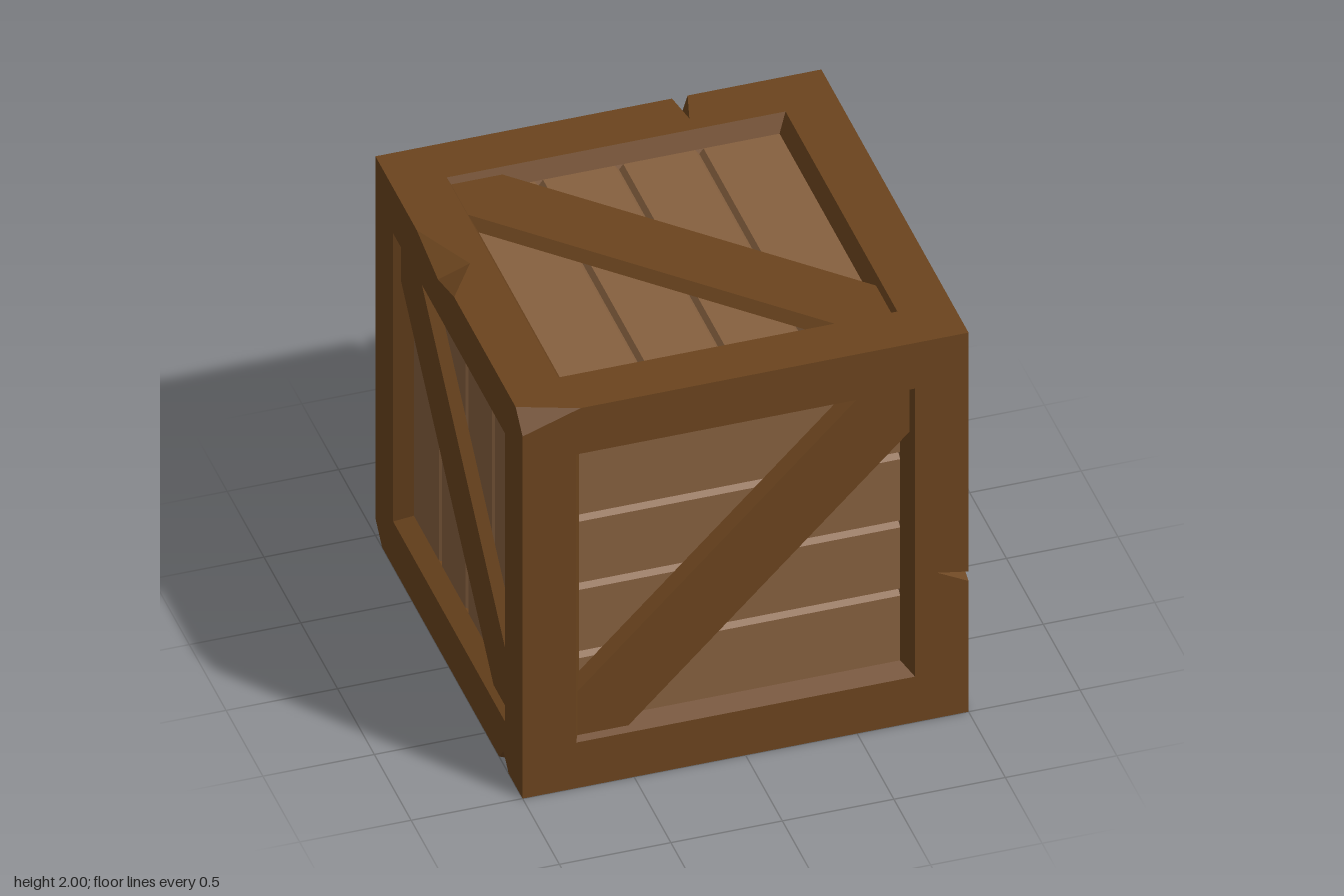
import * as THREE from 'three';

const OPEN = 0.76, FLOOR = 0.72, DEPTH = 0.08;   // recess: outer half size, inner half size, depth
const BRACE_TOP = 0.97;

const frameMat = new THREE.MeshStandardMaterial({ color: 0x6b441e, flatShading: true, side: THREE.DoubleSide });
const plankMat = new THREE.MeshStandardMaterial({ color: 0x86603f, flatShading: true });

const V = (x, y, z) => new THREE.Vector3(x, y, z);

// Nicks along the edges: a, b lie on the edge, f and s reach into the two faces beside it
const nicks = [
  { a: V(1, -0.26, 1), b: V(1, -0.31, 1), f: V(0.86, -0.235, 1), s: V(1, -0.26, 0.89) },
  { a: V(1, 0.115, -1), b: V(1, 0.02, -1), f: V(0.86, 0.05, -1), s: V(1, 0.08, -0.87) },
  { a: V(-1, 1, -0.44), b: V(-1, 1, 0.07), f: V(-0.86, 1, -0.14), s: V(-1, 0.94, -0.15) },
  { a: V(0.33, 1, -1), b: V(0.4, 1, -1), f: V(0.355, 1, -0.84), s: V(0.36, 0.87, -1) },
  { a: V(-1, -1, 0.68), b: V(-1, -1, 0.81), f: V(-0.9, -1, 0.75), s: V(-1, -0.93, 0.74) },
];

// Corners cut off: corner position and cut length along x, y, z
const chips = [
  { corner: V(-1, 1, 1), cut: [0.26, 0.09, 0.095] },
  { corner: V(-1, -1, -1), cut: [0.28, 0.09, 0.09] },
];
for (const c of chips) {
  c.points = c.cut.map((len, i) => {
    const p = c.corner.clone();
    p.setComponent(i, p.getComponent(i) * (1 - len));
    return p;
  });
}

// Every outline point of the block; `at` is the place on the edge that sets its order
const outline = [];
for (const x of [-1, 1]) for (const y of [-1, 1]) for (const z of [-1, 1]) {
  const p = V(x, y, z);
  const chip = chips.find((c) => c.corner.equals(p));
  for (const q of chip ? chip.points : [p]) outline.push({ p: q, at: q });
}
for (const { a, b, f, s } of nicks) {
  const mid = a.clone().lerp(b, 0.5);
  outline.push({ p: a, at: a }, { p: b, at: b }, { p: f, at: mid }, { p: s, at: mid });
}

function mesh(geometry, material, name) {
  const m = new THREE.Mesh(geometry, material);
  m.name = name;
  return m;
}

function fromPoints(points) {
  const g = new THREE.BufferGeometry().setFromPoints(points);
  g.computeVertexNormals();
  return g;
}

// Triangle wound so that it faces the given point
function triangle(p, q, r, toward) {
  const n = q.clone().sub(p).cross(r.clone().sub(p));
  return n.dot(toward.clone().sub(p)) > 0 ? [p, q, r] : [p, r, q];
}

// Flat front of the frame with its square opening
function frameFront(rotation) {
  const inverse = new THREE.Quaternion().setFromEuler(rotation).invert();
  const pts = outline
    .map(({ p, at }) => ({ p: p.clone().applyQuaternion(inverse), at: at.clone().applyQuaternion(inverse) }))
    .filter(({ p }) => Math.abs(p.z - 1) < 1e-5)
    .sort((m, n) => Math.atan2(m.at.y, m.at.x) - Math.atan2(n.at.y, n.at.x));
  const shape = new THREE.Shape(pts.map(({ p }) => new THREE.Vector2(p.x, p.y)));
  const o = OPEN;
  shape.holes.push(new THREE.Path([[-o, -o], [-o, o], [o, o], [o, -o]].map((c) => new THREE.Vector2(...c))));
  return new THREE.ShapeGeometry(shape).translate(0, 0, 1);
}

// Sloped walls of the recess
function recessWalls() {
  return new THREE.CylinderGeometry(OPEN * Math.SQRT2, FLOOR * Math.SQRT2, DEPTH, 4, 1, true)
    .rotateY(Math.PI / 4).rotateX(Math.PI / 2).translate(0, 0, 1 - DEPTH / 2);
}

// Four planks parted by V grooves, running along y
function planks() {
  const top = 1 - DEPTH, shape = new THREE.Shape();
  shape.moveTo(-FLOOR, top - 0.06);
  shape.lineTo(FLOOR, top - 0.06);
  shape.lineTo(FLOOR, top);
  for (const u of [0.36, 0, -0.36]) {
    shape.lineTo(u + 0.019, top);
    shape.lineTo(u, top - 0.025);
    shape.lineTo(u - 0.019, top);
  }
  shape.lineTo(-FLOOR, top);
  return new THREE.ExtrudeGeometry(shape, { depth: 2 * FLOOR, bevelEnabled: false })
    .translate(0, 0, -FLOOR).rotateX(Math.PI / 2);
}

// Diagonal brace rising to the right, with sloped sides
function brace() {
  const ring = (r, c, z) => [[-r, -r], [c - r, -r], [r, r - c], [r, r], [r - c, r], [-r, c - r]]
    .map(([x, y]) => V(x, y, z));
  const top = ring(0.745, 0.23, BRACE_TOP), low = ring(FLOOR, 0.275, 1 - DEPTH);
  const pts = [];
  for (let i = 1; i < 5; i++) pts.push(top[0], top[i], top[i + 1]);
  for (const i of [1, 4]) pts.push(low[i], low[i + 1], top[i + 1], low[i], top[i + 1], top[i]);
  return fromPoints(pts);
}

export function createModel() {
  const model = new THREE.Group();
  model.name = 'crate';
  const body = new THREE.Group();
  body.name = 'crateBody';
  body.position.y = 1;
  model.add(body);

  const H = Math.PI / 2;
  const sides = [
    { name: 'front', rot: [0, 0], rising: true, level: true },
    { name: 'left', rot: [0, H] },
    { name: 'back', rot: [0, 2 * H], rising: true },
    { name: 'right', rot: [0, -H] },
    { name: 'top', rot: [-H, 0] },
    { name: 'bottom', rot: [H, 0], level: true },
  ];
  for (const { name, rot, rising, level } of sides) {
    const side = new THREE.Group();
    side.name = name + 'Side';
    side.rotation.set(rot[0], rot[1], 0);
    const boards = mesh(planks(), plankMat, name + 'Planks');
    if (level) boards.rotation.z = H;
    const diagonal = mesh(brace(), frameMat, name + 'Brace');
    if (!rising) diagonal.rotation.z = H;
    side.add(
      mesh(frameFront(side.rotation), frameMat, name + 'Frame'),
      mesh(recessWalls(), frameMat, name + 'RecessWalls'),
      boards, diagonal,
    );
    body.add(side);
  }

  // Broken wood inside the nicks and at the cut corners
  const cuts = [];
  for (const { a, b, f, s } of nicks) cuts.push(...triangle(a, f, s, b), ...triangle(b, f, s, a));
  for (const { corner, points } of chips) cuts.push(...triangle(...points, corner));
  body.add(mesh(fromPoints(cuts), frameMat, 'edgeDamage'));

  return model;
}
